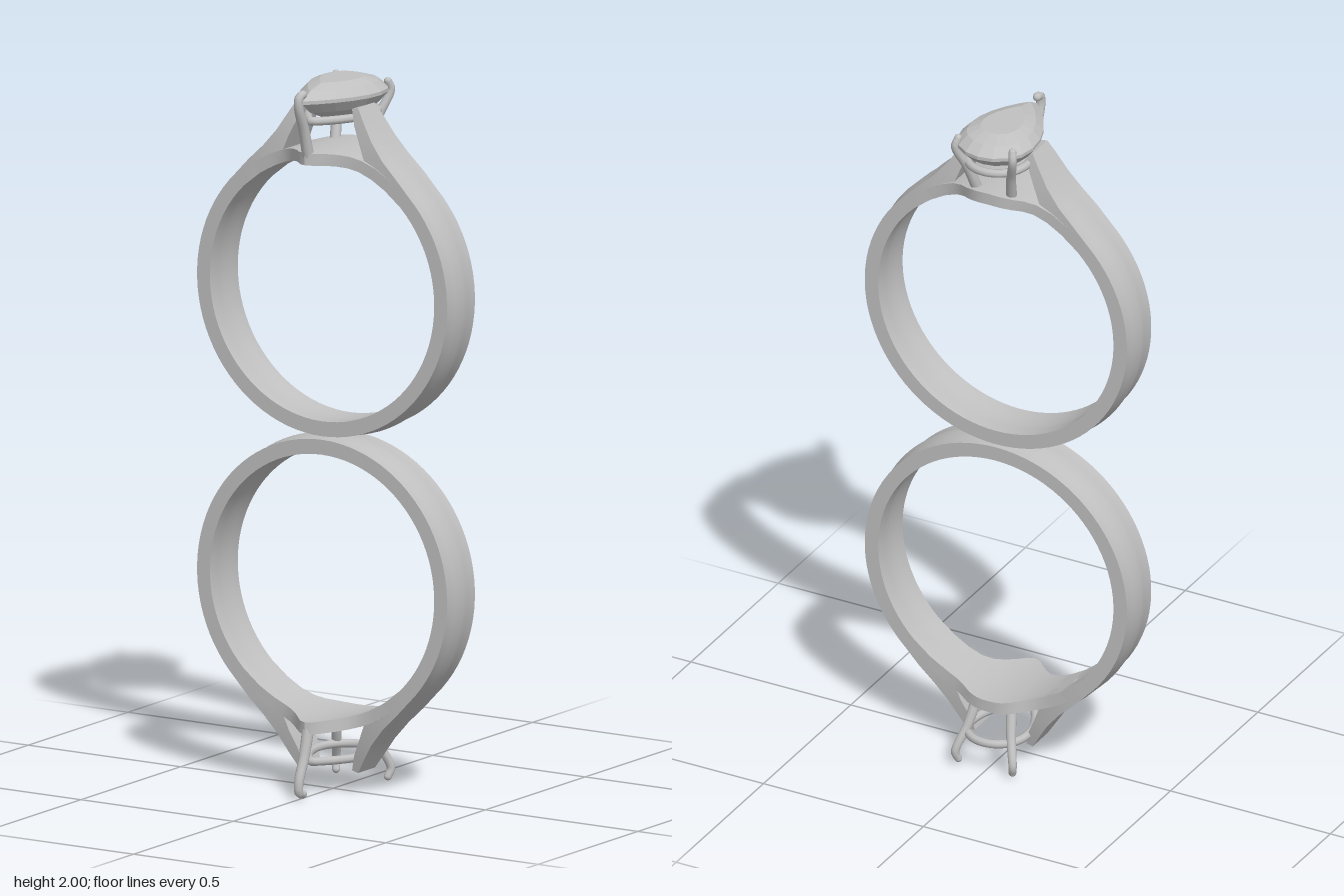
import * as THREE from 'three';
import { toCreasedNormals } from 'three/addons/utils/BufferGeometryUtils.js';

const metal = new THREE.MeshStandardMaterial({ color: 0xc0c0c0 });
metal.name = 'silver grey';

const CY = 1.415;  // centre height of the upper ring
const R_OUT = 0.41, R_IN = 0.368;
const ZMID = -0.015;

function part(name, geometry) {
  const mesh = new THREE.Mesh(geometry, metal);
  mesh.name = name;
  return mesh;
}

// Skins a row of equal cross-section loops and caps both ends.
function loft(rings, crease) {
  const n = rings[0].length, last = rings.length - 1, index = [];
  for (let k = 0; k < last; k++) {
    for (let j = 0; j < n; j++) {
      const a = k * n + j, d = k * n + (j + 1) % n, b = a + n, c = d + n;
      index.push(a, b, c, a, c, d);
    }
  }
  for (let j = 1; j < n - 1; j++) {
    index.push(0, j, j + 1);
    index.push(last * n, last * n + j + 1, last * n + j);
  }
  const g = new THREE.BufferGeometry().setFromPoints(rings.flat());
  g.setIndex(index);
  return toCreasedNormals(g, crease);
}

// Band cross-section between an inner and an outer point, with a soft ridge.
function section([ox, oy], [ix, iy], z0, z1, ridge) {
  const zm = (z0 + z1) / 2, q = (z1 - z0) * 0.22;
  const len = Math.hypot(ox - ix, oy - iy);
  return [
    [0, z0], [0, zm - q], [ridge * 0.5, zm], [0, zm + q], [0, z1],
    [len, z1], [len, zm + q], [len + ridge, zm], [len, zm - q], [len, z0],
  ].map(([u, z]) => new THREE.Vector3(
    ix + (ox - ix) * u / len, iy + (oy - iy) * u / len, z));
}

// Band that sweeps up into the two shoulders
function bandGeometry() {
  const half = [  // outer x, y, inner x, y, half width, ridge
    [0.1, 1.935, 0.08, 1.93, 0.042, 0],
    [0.122, 1.9, 0.093, 1.885, 0.051, 0],
    [0.155, 1.848, 0.115, 1.838, 0.06, 0.001],
    [0.195, 1.8, 0.15, 1.751, 0.067, 0.003],
    [0.24, 1.757, 0.2, 1.724, 0.07, 0.006],
  ];
  for (let i = 0; i <= 34; i++) {
    const a = THREE.MathUtils.degToRad(44 + i * 4);
    const s = Math.sin(a), c = Math.cos(a);
    half.push([R_OUT * s, CY + R_OUT * c, R_IN * s, CY + R_IN * c, 0.07, 0.007]);
  }
  const other = half.slice(0, -1).reverse()
    .map(([ox, oy, ix, iy, w, r]) => [-ox, oy, -ix, iy, w, r]);
  return loft([...half, ...other].map(([ox, oy, ix, iy, w, r]) =>
    section([ox, oy], [ix, iy], ZMID - w, ZMID + w, r)), 0.5);
}

// Pear-shaped plate closing the top of the ring, bent to its curve
function bridgeGeometry() {
  const half = [  // x, back z, front z
    [0, -0.13, 0.142], [0.02, -0.13, 0.134], [0.04, -0.127, 0.112],
    [0.065, -0.118, 0.087], [0.09, -0.102, 0.068], [0.12, -0.089, 0.057],
    [0.16, -0.085, 0.055], [0.21, -0.085, 0.055],
  ];
  const all = [...half.slice(1).reverse().map(([x, b, f]) => [-x, b, f]), ...half];
  return loft(all.map(([x, b, f]) => {
    const at = r => [x * r / R_IN, CY + Math.sqrt(r * r - (x * r / R_IN) ** 2)];
    return section(at(0.402), at(R_IN), b, f, 0);
  }), 0.5);
}

// Pear outline with its tip towards +z
function pear(scale, y, count) {
  return Array.from({ length: count }, (_, i) => {
    const a = i / count * Math.PI * 2;
    const x = 0.1375 * Math.sin(a) * Math.abs(Math.sin(a / 2)) ** 0.8;
    const z = -0.02 + 0.17 * Math.cos(a);
    return new THREE.Vector3(x * scale, y, -0.035 + (z + 0.035) * scale);
  });
}

// Faceted pear-cut stone
function stoneGeometry() {
  const levels = [[0.5, 2], [0.8, 1.987], [1, 1.964], [1, 1.954],
    [0.8, 1.925], [0.45, 1.9], [0.1, 1.885]];
  return loft(levels.map(([s, y]) => pear(s, y, 20)), 0.05);
}

// Tapered claw with a rounded tip
function prong(name, points, r0, r1) {
  const curve = new THREE.CatmullRomCurve3(points.map(p => new THREE.Vector3(...p)));
  const steps = 20, sides = 10;
  const g = new THREE.TubeGeometry(curve, steps, 1, sides);
  const pos = g.attributes.position, v = new THREE.Vector3();
  for (let i = 0; i < pos.count; i++) {
    const t = Math.floor(i / (sides + 1)) / steps, c = curve.getPointAt(t);
    v.fromBufferAttribute(pos, i).sub(c).multiplyScalar(r0 + (r1 - r0) * t).add(c);
    pos.setXYZ(i, v.x, v.y, v.z);
  }
  const group = new THREE.Group();
  group.name = name;
  const tip = part(name + 'Tip', new THREE.SphereGeometry(r1, 10, 8));
  tip.position.copy(curve.getPointAt(1));
  group.add(part(name + 'Shaft', g), tip);
  return group;
}

function ring(name) {
  const group = new THREE.Group();
  group.name = name;
  group.add(part('band', bandGeometry()), part('bridgePlate', bridgeGeometry()));

  // Gallery rail under the stone
  const rail = new THREE.CatmullRomCurve3(pear(0.78, 1.9, 32), true);
  group.add(part('galleryRail', new THREE.TubeGeometry(rail, 64, 0.012, 8, true)));

  // One claw at the tip, two at the rounded back
  group.add(prong('frontProng', [[0, 1.795, 0.122], [0, 1.88, 0.145],
    [0, 1.95, 0.172], [0, 1.978, 0.17], [0, 1.983, 0.152]], 0.017, 0.012));
  for (const [side, s] of [['left', 1], ['right', -1]]) {
    group.add(prong(side + 'BackProng', [[s * 0.052, 1.795, -0.09],
      [s * 0.068, 1.88, -0.122], [s * 0.09, 1.955, -0.153],
      [s * 0.085, 1.978, -0.145]], 0.016, 0.011));
  }
  return group;
}

export function createModel() {
  const model = new THREE.Group();
  model.name = 'ringPair';

  const upper = ring('upperRing');
  upper.add(part('stone', stoneGeometry()));

  // The lower ring is turned upside down and has an empty setting
  const lower = ring('lowerRing');
  lower.rotation.z = Math.PI;
  lower.position.y = 2;

  model.add(upper, lower);
  return model;
}
